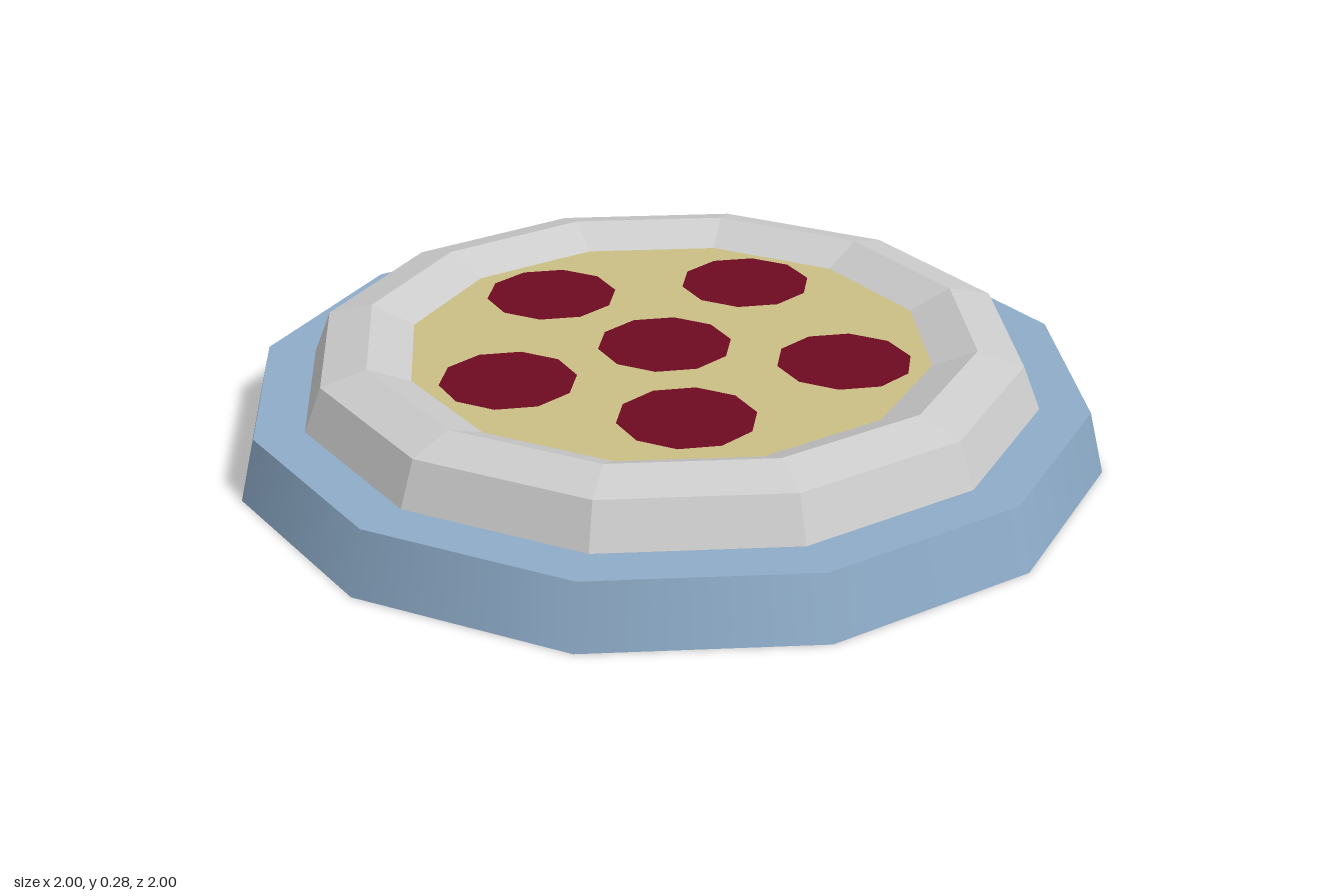
import * as THREE from 'three';

const SIDES = 12;
const STEP = Math.PI / SIDES;

// Twelve-sided open band; profile is [distance to flat, height], flats face the axes
function band(name, profile, color, flatShading) {
  const points = profile.map(([r, y]) => new THREE.Vector2(r / Math.cos(STEP), y));
  const geometry = new THREE.LatheGeometry(points, SIDES, STEP);
  const mesh = new THREE.Mesh(geometry, new THREE.MeshStandardMaterial({
    color, flatShading, side: THREE.DoubleSide }));
  mesh.name = name;
  return mesh;
}

// Flat polygon facing up
function disc(name, radius, sides, start, x, y, z, color, side) {
  const geometry = new THREE.CircleGeometry(radius, sides, start).rotateX(-Math.PI / 2);
  const mesh = new THREE.Mesh(geometry, new THREE.MeshStandardMaterial({ color, side }));
  mesh.position.set(x, y, z);
  mesh.name = name;
  return mesh;
}

export function createModel() {
  const model = new THREE.Group();
  model.name = 'pizza';

  // Plate: sloping smooth wall and flat rim, open underneath
  const blue = 0x8dabc8;
  model.add(band('plateWall', [[1, 0], [0.965, 0.15]], blue, false));
  model.add(band('plateRim', [[0.965, 0.15], [0.85, 0.15]], blue, true));

  // Faceted crust, sloping down to the cheese on the inside
  model.add(band('crust', [[0.85, 0.15], [0.81, 0.255], [0.705, 0.285], [0.605, 0.24]], 0xcccccc, true));

  // Cheese
  model.add(disc('cheese', 0.605 / Math.cos(STEP), SIDES, STEP, 0, 0.24, 0, 0xcbbf85, THREE.DoubleSide));

  // Ten-sided topping slices
  const slices = new THREE.Group();
  slices.name = 'toppingSlices';
  const spots = [[0.01, -0.42], [-0.39, -0.14], [0.415, -0.085], [-0.005, 0.01], [-0.24, 0.35], [0.215, 0.35]];
  for (const [x, z] of spots) {
    slices.add(disc('toppingSlice', 0.16, 10, 0, x, 0.245, z, 0x6e0a22, THREE.FrontSide));
  }
  model.add(slices);

  return model;
}
